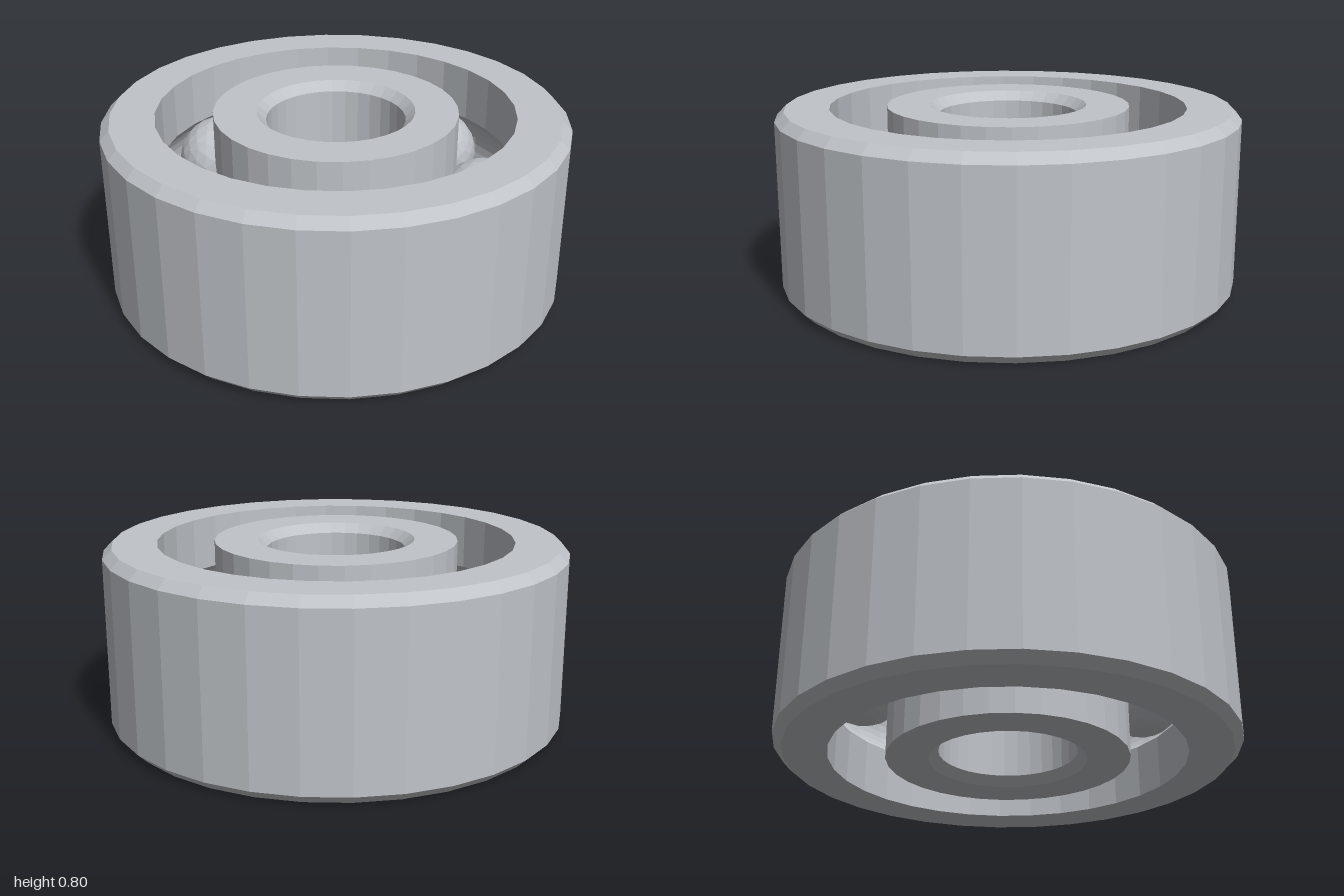
import * as THREE from 'three';

const SEGMENTS = 32, BALLS = 7;
const HEIGHT = 0.8, MID = HEIGHT / 2, CHAMFER = 0.04;
const OUTER_R = 1, OUTER_INNER_R = 0.77, HUB_R = 0.525, BORE_R = 0.3;
const PITCH_R = 0.6475, BALL_R = 0.195, GROOVE_R = 0.2;

// faceted normals
function flat(geometry) {
  const g = geometry.index ? geometry.toNonIndexed() : geometry;
  g.computeVertexNormals();
  return g;
}

// arc of the ball groove cut into a wall; side +1 = outer race, -1 = inner race.
// Points run upward for the inner race and downward for the outer race.
function groove(wallR, side) {
  const half = Math.acos(Math.abs(wallR - PITCH_R) / GROOVE_R);
  const points = [], steps = 10;
  for (let i = 0; i <= steps; i++) {
    const a = half * (1 - (2 * i) / steps);
    points.push([PITCH_R + side * GROOVE_R * Math.cos(a), MID + side * GROOVE_R * Math.sin(a)]);
  }
  return points;
}

function ring(name, profile, material) {
  const points = [...profile, profile[0]].map(([r, y]) => new THREE.Vector2(r, y));
  const mesh = new THREE.Mesh(flat(new THREE.LatheGeometry(points, SEGMENTS)), material);
  mesh.name = name;
  return mesh;
}

export function createModel() {
  const model = new THREE.Group();
  model.name = 'ballBearing';
  const steel = new THREE.MeshStandardMaterial({ color: 0xc0c4c9 });
  steel.name = 'steel';

  // outer race, chamfered on the outside
  model.add(ring('outerRace', [
    [OUTER_R - CHAMFER, 0], [OUTER_R, CHAMFER],
    [OUTER_R, HEIGHT - CHAMFER], [OUTER_R - CHAMFER, HEIGHT],
    [OUTER_INNER_R, HEIGHT], ...groove(OUTER_INNER_R, 1), [OUTER_INNER_R, 0],
  ], steel));

  // inner race, chamfered at the bore
  model.add(ring('innerRace', [
    [HUB_R, 0], ...groove(HUB_R, -1), [HUB_R, HEIGHT],
    [BORE_R + CHAMFER, HEIGHT], [BORE_R, HEIGHT - CHAMFER],
    [BORE_R, CHAMFER], [BORE_R + CHAMFER, 0],
  ], steel));

  // balls
  const ballGeometry = flat(new THREE.IcosahedronGeometry(BALL_R, 3));
  for (let i = 0; i < BALLS; i++) {
    const a = (i / BALLS) * Math.PI * 2;
    const ball = new THREE.Mesh(ballGeometry, steel);
    ball.name = `ball${i + 1}`;
    ball.position.set(PITCH_R * Math.cos(a), MID, PITCH_R * Math.sin(a));
    ball.rotation.y = -a;
    model.add(ball);
  }
  return model;
}
